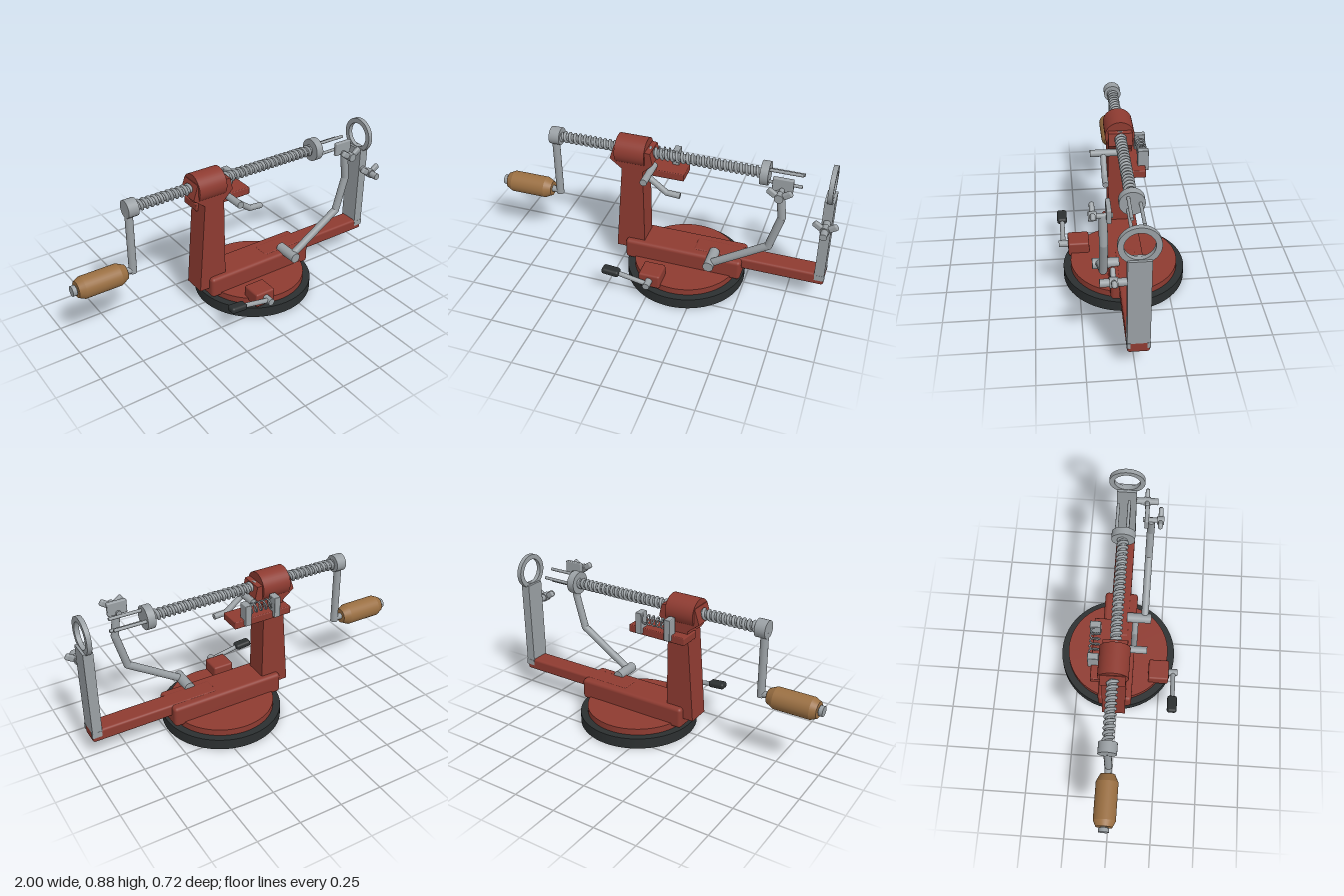
import * as THREE from 'three';
import { RoundedBoxGeometry } from 'three/addons/geometries/RoundedBoxGeometry.js';

const paint = (color) => new THREE.MeshStandardMaterial({ color });
const V = (x, y, z) => new THREE.Vector3(x, y, z);
const AXIS_Y = 0.777, AXIS_Z = -0.012;

class Helix extends THREE.Curve {
  constructor(x0, x1, y, z, r, turns) {
    super();
    Object.assign(this, { x0, x1, y, z, r, turns });
  }
  getPoint(t, out = new THREE.Vector3()) {
    const a = t * this.turns * Math.PI * 2;
    return out.set(this.x0 + (this.x1 - this.x0) * t, this.y + this.r * Math.cos(a), this.z + this.r * Math.sin(a));
  }
}

export function createModel() {
  const root = new THREE.Group();
  const red = paint(0x8e3b31), metal = paint(0x9aa0a4), black = paint(0x2b2f30), wood = paint(0x9a6f42);

  const add = (name, geo, mat, parent = root) => {
    const m = new THREE.Mesh(geo, mat);
    m.name = name;
    parent.add(m);
    return m;
  };
  // Box given by its limits, optionally rounded
  const box = (name, [x0, x1], [y0, y1], [z0, z1], mat, r = 0) => {
    const s = [x1 - x0, y1 - y0, z1 - z0];
    const m = add(name, r ? new RoundedBoxGeometry(...s, 3, r) : new THREE.BoxGeometry(...s), mat);
    m.position.set((x0 + x1) / 2, (y0 + y1) / 2, (z0 + z1) / 2);
    return m;
  };
  // Cylinder between two points
  const rod = (name, a, b, r, mat = metal, seg = 24) => {
    const d = b.clone().sub(a);
    const m = add(name, new THREE.CylinderGeometry(r, r, d.length(), seg), mat);
    m.position.copy(a).add(b).multiplyScalar(0.5);
    m.quaternion.setFromUnitVectors(V(0, 1, 0), d.normalize());
    return m;
  };
  // Bent rod with ball joints at the corners
  const bentRod = (name, pts, r) => {
    pts.slice(1).forEach((p, i) => rod(name, pts[i], p, r));
    pts.slice(1, -1).forEach((p) => add(name + 'Bend', new THREE.SphereGeometry(r, 20, 12), metal).position.copy(p));
  };
  const extrude = (name, shape, depth, mat) =>
    add(name, new THREE.ExtrudeGeometry(shape, { depth, bevelEnabled: false, curveSegments: 48 }), mat);
  const spiral = (name, x0, x1, y, z, r, turns, wire) =>
    add(name, new THREE.TubeGeometry(new Helix(x0, x1, y, z, r, turns), Math.round(turns * 18), wire, 6), metal);
  // Wing nut facing +z: hub and two raised wings
  const wingNut = (name, x, y, z, r) => {
    rod(name + 'Hub', V(x, y, z - 0.02), V(x, y, z + 0.02), r);
    for (const s of [-1, 1]) {
      const w = add(name + 'Wing', new RoundedBoxGeometry(0.055, 0.036, 0.026, 3, 0.011), metal);
      w.position.set(x + s * 0.04, y + 0.022, z);
      w.rotation.z = s * 0.6;
    }
  };

  // Base
  rod('suctionBase', V(0.147, 0, AXIS_Z), V(0.147, 0.063, AXIS_Z), 0.346, black, 64);
  rod('basePlate', V(0.147, 0.063, AXIS_Z), V(0.147, 0.101, AXIS_Z), 0.304, red, 64);
  box('body', [-0.2, 0.49], [0.079, 0.205], [-0.112, 0.088], red, 0.02);
  box('arm', [0.2, 0.955], [0.136, 0.208], [-0.07, 0.045], red, 0.014);

  // Column with flared top and bearing drum
  const profile = new THREE.Shape([
    [-0.262, 0.136], [-0.09, 0.136], [-0.097, 0.68], [-0.04, 0.735],
    [-0.055, 0.805], [-0.262, 0.82], [-0.29, 0.735], [-0.22, 0.68],
  ].map(([x, y]) => new THREE.Vector2(x, y)));
  extrude('column', profile, 0.134, red).position.z = -0.079;
  rod('bearingDrum', V(-0.258, 0.774, AXIS_Z), V(-0.086, 0.774, AXIS_Z), 0.083, red, 40);

  // Feed screw, hub and prongs
  rod('screwCore', V(-0.62, AXIS_Y, AXIS_Z), V(0.56, AXIS_Y, AXIS_Z), 0.023);
  spiral('screwThread', -0.61, 0.555, AXIS_Y, AXIS_Z, 0.025, 39, 0.009);
  rod('prongHub', V(0.55, AXIS_Y, AXIS_Z), V(0.595, AXIS_Y, AXIS_Z), 0.066, metal, 36);
  for (let i = 0; i < 3; i++) {
    const a = Math.PI + i * Math.PI * 2 / 3;
    const y = AXIS_Y + 0.041 * Math.sin(a), z = AXIS_Z + 0.041 * Math.cos(a);
    rod('prong', V(0.58, y, z), V(0.775, y, z), 0.009, metal, 12);
  }

  // Crank and wooden handle
  rod('crankHub', V(-0.663, AXIS_Y, AXIS_Z), V(-0.602, AXIS_Y, AXIS_Z), 0.05);
  rod('crankArm', V(-0.642, 0.382, AXIS_Z), V(-0.642, 0.76, AXIS_Z), 0.022);
  rod('handlePin', V(-0.98, 0.4, AXIS_Z), V(-0.642, 0.4, AXIS_Z), 0.019);
  rod('handleCap', V(-1, 0.4, AXIS_Z), V(-0.977, 0.4, AXIS_Z), 0.029);
  const grip = [[0, -0.142], [0.046, -0.142], [0.062, -0.108], [0.062, 0.1], [0.042, 0.142], [0, 0.142]];
  // Doubled profile points keep the edges crisp
  const gripPts = grip.flatMap(([r, y]) => [new THREE.Vector2(r, y - 0.0005), new THREE.Vector2(r, y + 0.0005)]);
  const handle = add('handleGrip', new THREE.LatheGeometry(gripPts, 32), wood);
  handle.position.set(-0.83, 0.4, AXIS_Z);
  handle.rotation.z = -Math.PI / 2;

  // Upright post with cutting ring
  box('post', [0.9, 0.955], [0.196, 0.7], [-0.07, 0.045], metal);
  for (const z of [-0.063, 0.038]) box('postFoot', [0.902, 0.958], [0.166, 0.2], [z - 0.008, z + 0.008], metal);
  const ring = new THREE.Shape().absarc(0, 0, 0.103, 0, Math.PI * 2);
  ring.holes.push(new THREE.Path().absarc(0, 0, 0.074, 0, Math.PI * 2, true));
  const cutter = extrude('cuttingRing', ring, 0.026, metal);
  cutter.rotation.y = Math.PI / 2;
  cutter.position.set(0.915, AXIS_Y, AXIS_Z);
  rod('postBolt', V(0.928, 0.567, 0.04), V(0.928, 0.567, 0.174), 0.02);
  wingNut('postNut', 0.928, 0.567, 0.108, 0.026);

  // Peeling arm and blade
  rod('peelerPivot', V(0.325, 0.209, 0.03), V(0.325, 0.209, 0.178), 0.03);
  bentRod('peelerArm', [V(0.325, 0.209, 0.138), V(0.645, 0.415, 0.138), V(0.702, 0.62, 0.138), V(0.68, 0.778, 0.138)], 0.022);
  box('blade', [0.632, 0.742], [0.766, 0.844], [0.1, 0.124], metal, 0.006);
  rod('bladeBolt', V(0.685, 0.778, 0.09), V(0.685, 0.778, 0.2), 0.014);
  wingNut('bladeNut', 0.685, 0.778, 0.189, 0.024);

  // Spring shelf behind the column
  box('shelf', [-0.235, 0.12], [0.622, 0.666], [-0.138, -0.01], red, 0.005);
  for (const x of [-0.136, 0.046]) box('springPost', [x - 0.019, x + 0.019], [0.634, 0.757], [-0.157, -0.097], metal, 0.004);
  spiral('spring', -0.12, 0.03, 0.718, -0.126, 0.026, 5, 0.005);

  // Release latch
  rod('latchPin', V(-0.058, 0.685, -0.03), V(-0.058, 0.685, 0.158), 0.02);
  bentRod('latchLever', [V(-0.062, 0.685, 0.085), V(0.052, 0.598, 0.085), V(0.13, 0.592, 0.085)], 0.017);

  // Suction lock lever
  box('lockBlock', [-0.045, 0.08], [0.079, 0.166], [0.18, 0.302], red, 0.012);
  rod('lockPin', V(0.018, 0.127, 0.28), V(0.018, 0.127, 0.356), 0.02);
  rod('lockLever', V(0.018, 0.127, 0.33), V(-0.17, 0.164, 0.33), 0.014);
  const knob = add('lockGrip', new RoundedBoxGeometry(0.102, 0.038, 0.058, 4, 0.015), black);
  knob.position.set(-0.196, 0.168, 0.33);
  knob.rotation.z = -0.08;

  return root;
}
